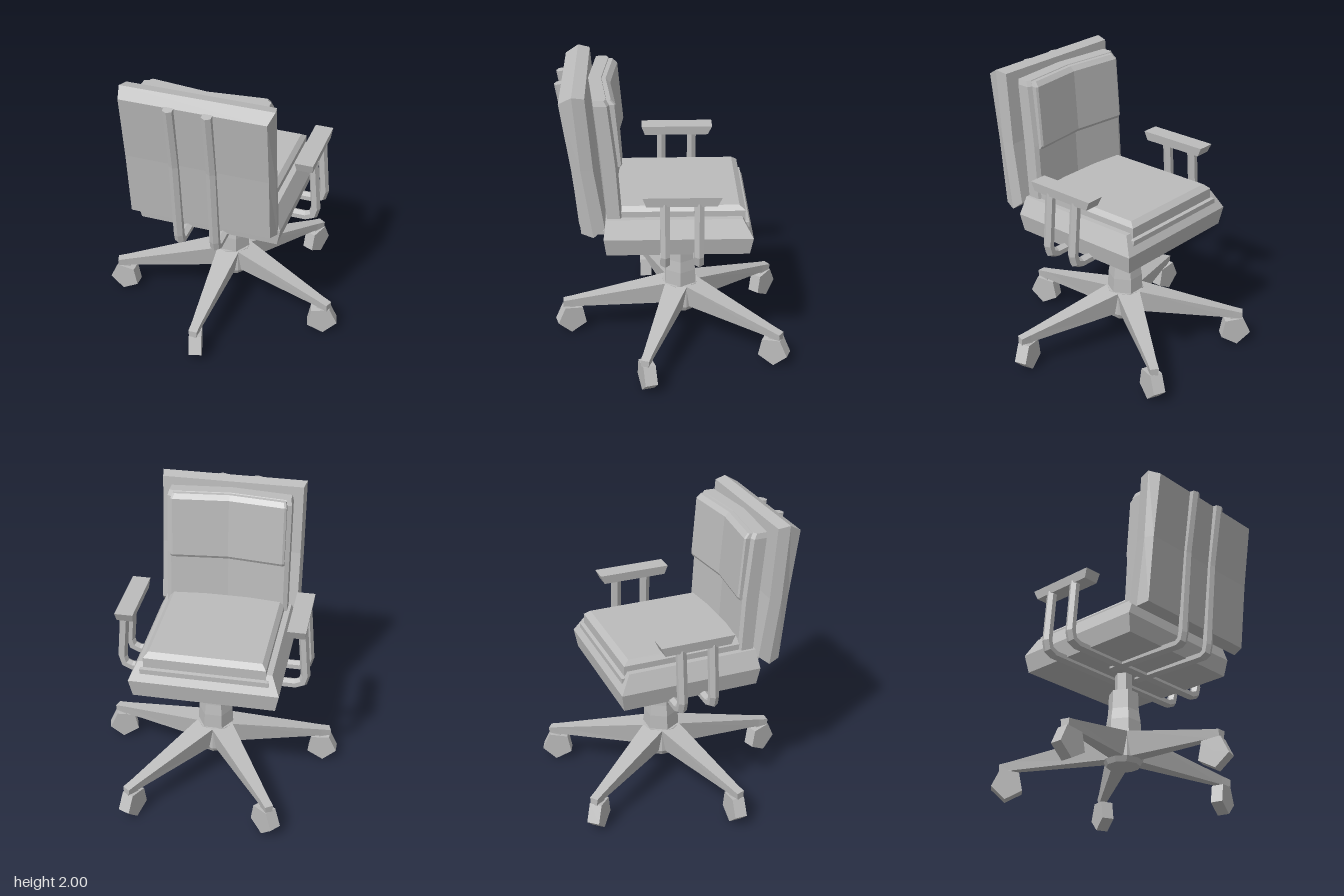
import * as THREE from 'three';

const grey = new THREE.MeshStandardMaterial({ color: 0xbcbcbc, flatShading: true });
grey.name = 'grey';

function add(parent, name, geometry, x = 0, y = 0, z = 0) {
  const mesh = new THREE.Mesh(geometry, grey);
  mesh.name = name;
  mesh.position.set(x, y, z);
  parent.add(mesh);
  return mesh;
}

// Closed solid through rings of equal point count; each end is a fan from point 0
function loft(rings) {
  const n = rings[0].length, last = rings.length - 1, tris = [];
  for (let r = 0; r < last; r++) {
    for (let i = 0; i < n; i++) {
      const j = (i + 1) % n, a = rings[r], b = rings[r + 1];
      tris.push([a[i], a[j], b[j]], [a[i], b[j], b[i]]);
    }
  }
  for (let i = 1; i < n - 1; i++) {
    tris.push([rings[0][0], rings[0][i + 1], rings[0][i]]);
    tris.push([rings[last][0], rings[last][i], rings[last][i + 1]]);
  }
  // turn the faces outward when the signed volume is negative
  let volume = 0;
  for (const [a, b, c] of tris) {
    volume += a[0] * (b[1] * c[2] - b[2] * c[1]) + a[1] * (b[2] * c[0] - b[0] * c[2])
      + a[2] * (b[0] * c[1] - b[1] * c[0]);
  }
  if (volume < 0) tris.forEach((t) => t.reverse());
  const g = new THREE.BufferGeometry();
  g.setAttribute('position', new THREE.Float32BufferAttribute(tris.flat(2), 3));
  g.computeVertexNormals();
  return g;
}

// Horizontal rectangle ring: height, half width, near and far z
const rect = (y, w, z0, z1) => [[-w, y, z0], [w, y, z0], [w, y, z1], [-w, y, z1]];

// Six-sided bar along a planar path of [u, v], with mitred bends; place maps (u, v, side) to a point
function bar(path, radius, place) {
  return loft(path.map((p, k) => {
    const dir = (a, b) => new THREE.Vector2(b[0] - a[0], b[1] - a[1]).normalize();
    const before = dir(path[Math.max(k - 1, 0)], path[Math.max(k, 1)]);
    const after = k < path.length - 1 ? dir(p, path[k + 1]) : before;
    const mean = before.clone().add(after).normalize();
    const miter = radius / mean.dot(before);
    return Array.from({ length: 6 }, (_, i) => {
      const c = Math.cos(i * Math.PI / 3) * miter, s = Math.sin(i * Math.PI / 3) * radius * 1.1;
      return place(p[0] - mean.y * c, p[1] + mean.x * c, s);
    });
  }));
}

// Ring of a cushion whose middle is pushed back by dip
function dipRing(y, front, back, w, bevel, dip) {
  const side = front + bevel * 0.5;
  return [[0, y, front + dip], [w - bevel, y, front], [w, y, side], [w, y, back],
    [0, y, back + dip], [-w, y, back], [-w, y, side], [-(w - bevel), y, front]];
}

function buildSeat(chair) {
  add(chair, 'seatBase', loft([
    rect(0.875, 0.48, -0.53, 0.42), rect(1.0, 0.505, -0.55, 0.435), rect(1.12, 0.45, -0.48, 0.42),
  ]));
  add(chair, 'seatCushion', loft([
    rect(1.05, 0.43, -0.525, 0.33), rect(1.085, 0.43, -0.525, 0.33), rect(1.09, 0.41, -0.5, 0.33),
    rect(1.16, 0.41, -0.5, 0.34), rect(1.19, 0.38, -0.46, 0.34),
  ]));
}

function buildBack(chair) {
  // each level: height and z of the ridge, the inner face and the outer face
  const levels = [
    [1.02, 0.50, 1.08, 0.425, 1.04, 0.58],
    [1.5, 0.57, 1.5, 0.49, 1.5, 0.63],
    [2.0, 0.61, 1.985, 0.53, 1.95, 0.695],
  ];
  add(chair, 'backShell', loft(levels.map(([ym, zm, yf, zf, yb, zb]) => [
    [-0.505, ym, zm], [-0.49, yf, zf], [0.49, yf, zf],
    [0.505, ym, zm], [0.48, yb, zb], [-0.48, yb, zb],
  ])));
  add(chair, 'backCushion', loft([
    dipRing(1.1, 0.31, 0.41, 0.43, 0.03, 0.04),
    dipRing(1.5, 0.335, 0.44, 0.43, 0.03, 0.04),
    dipRing(1.91, 0.38, 0.48, 0.43, 0.03, 0.04),
    dipRing(1.945, 0.4, 0.485, 0.42, 0.03, 0.04),
  ]));
  add(chair, 'upperBackPad', loft([
    dipRing(1.48, 0.315, 0.36, 0.4, 0.015, 0.04),
    dipRing(1.5, 0.305, 0.36, 0.4, 0.015, 0.04),
    dipRing(1.91, 0.34, 0.42, 0.4, 0.015, 0.04),
    dipRing(1.94, 0.37, 0.42, 0.39, 0.015, 0.04),
  ]));
  // bent bars behind the back that run under the seat
  const path = [[0.71, 1.95], [0.635, 1.5], [0.583, 0.93], [0.57, 0.88], [0.54, 0.862], [-0.05, 0.877]];
  for (const x of [-0.11 - 0.035, 0.11 - 0.005]) {
    add(chair, 'backBar', bar(path, 0.033, (u, v, s) => [x + s, v, u]));
  }
}

function buildArms(chair) {
  // each bar rises to both armrests and crosses beneath the seat
  const half = [[0.605, 1.32], [0.635, 0.95], [0.62, 0.895], [0.57, 0.872]];
  const path = [...half, ...half.map(([x, y]) => [-x, y]).reverse()];
  for (const z of [0.035, -0.185]) {
    add(chair, 'armBar', bar(path, 0.033, (u, v, s) => [u, v, z + s]));
  }
  for (const side of [-1, 1]) {
    const pad = [rect(1.305, 0.055, -0.3, 0.155), rect(1.37, 0.062, -0.33, 0.178)];
    add(chair, 'armrest', loft(pad), side * 0.577);
  }
}

function buildBase() {
  const base = new THREE.Group();
  base.name = 'swivelBase';
  base.position.z = -0.085;

  // column, sleeve and hub
  const column = add(base, 'column', new THREE.CylinderGeometry(0.06, 0.06, 0.2, 6), 0, 0.8, 0);
  const profile = [[0, 0.41], [0.125, 0.41], [0.12, 0.52], [0.108, 0.6], [0.103, 0.735], [0, 0.735]];
  const sleeve = add(base, 'columnSleeve',
    new THREE.LatheGeometry(profile.map(([r, y]) => new THREE.Vector2(r, y)), 6));
  column.rotation.y = sleeve.rotation.y = Math.PI / 2;
  add(base, 'hub', new THREE.CylinderGeometry(0.13, 0.135, 0.17, 10), 0, 0.33, 0);
  add(base, 'hubCap', new THREE.CylinderGeometry(0.135, 0.115, 0.04, 10), 0, 0.228, 0);

  // five legs with pentagonal casters, each swivelled differently
  const swivel = [17, 33, 13, 13, -18];
  const section = (z, y0, y1, w0, w1) => [[-w0, y0, z], [w0, y0, z], [w1, y1, z], [-w1, y1, z]];
  swivel.forEach((turn, i) => {
    const arm = new THREE.Group();
    arm.name = 'legAndCaster';
    arm.rotation.y = i * Math.PI * 2 / 5;
    base.add(arm);
    add(arm, 'leg', loft([
      section(0.04, 0.24, 0.415, 0.06, 0.08), section(0.11, 0.245, 0.415, 0.055, 0.08),
      section(0.77, 0.205, 0.265, 0.025, 0.032), section(0.84, 0.2, 0.25, 0.025, 0.03),
    ]));
    add(arm, 'casterStem', new THREE.BoxGeometry(0.05, 0.1, 0.06), 0, 0.17, 0.785);
    const wheel = new THREE.CylinderGeometry(0.11, 0.11, 0.085, 5);
    wheel.rotateZ(Math.PI / 2);
    wheel.rotateX(THREE.MathUtils.degToRad(11));
    add(arm, 'caster', wheel, 0, 0.109, 0.785).rotation.y = THREE.MathUtils.degToRad(turn);
  });
  return base;
}

export function createModel() {
  const chair = new THREE.Group();
  chair.name = 'officeChair';
  buildSeat(chair);
  buildBack(chair);
  buildArms(chair);
  chair.add(buildBase());
  return chair;
}
